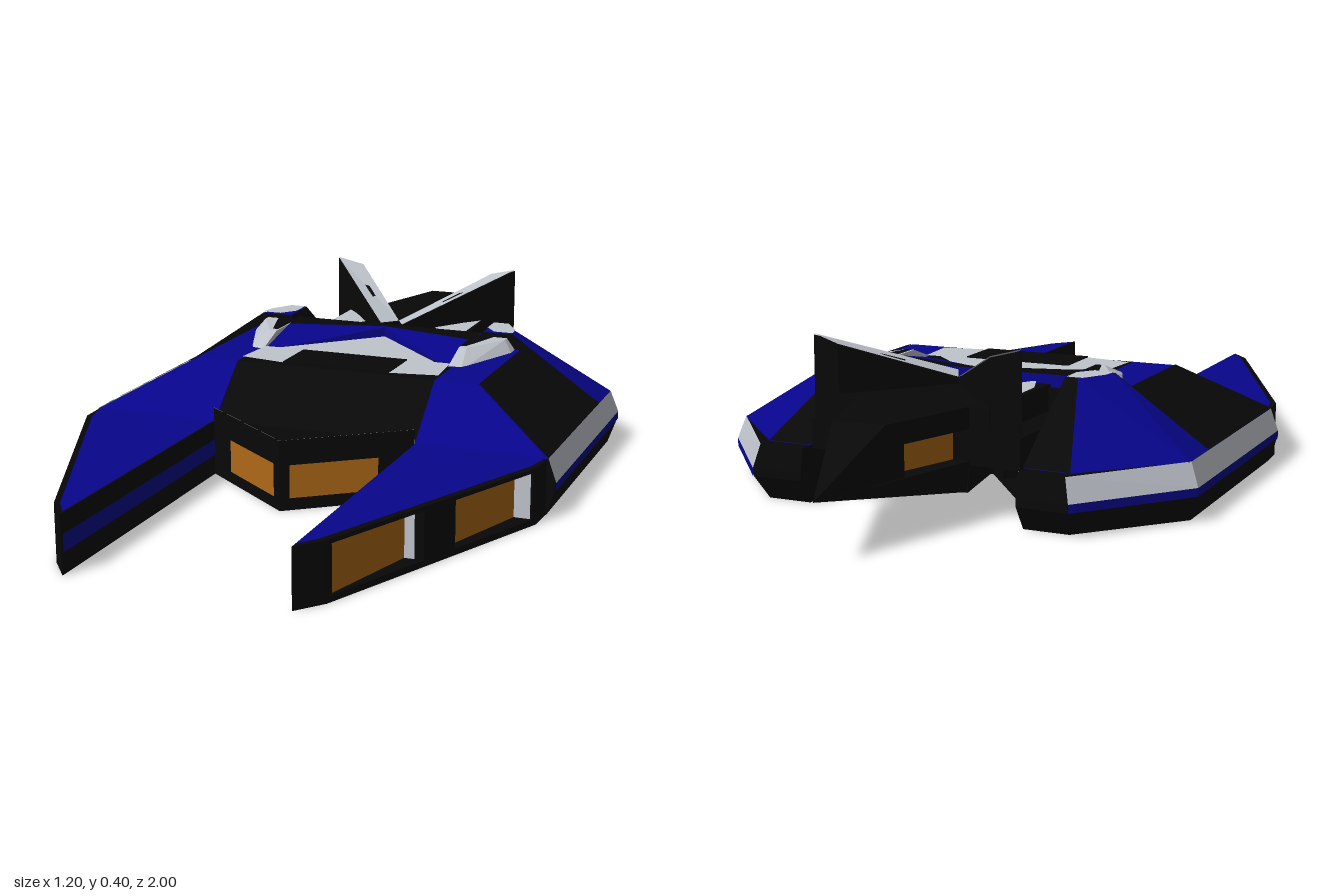
import * as THREE from 'three';
import { ConvexGeometry } from 'three/addons/geometries/ConvexGeometry.js';

const mat = (color) => new THREE.MeshStandardMaterial({ color, flatShading: true, side: THREE.DoubleSide });
const dark = mat(0x080808), blue = mat(0x07058a), silver = mat(0xc0c4cc), amber = mat(0xb06a18);

export function createModel() {
  const model = new THREE.Group();
  const add = (name, geometry, material) => {
    const mesh = new THREE.Mesh(geometry, material);
    mesh.name = name;
    model.add(mesh);
  };
  const flip = (pts) => pts.map(([x, y, z]) => [-x, y, z]);
  // Convex faceted block around [x, y, z] corners
  const solid = (name, material, pts) =>
    add(name, new ConvexGeometry(pts.map((p) => new THREE.Vector3(...p))), material);
  // Thin convex panel from ordered corners
  const panel = (name, material, pts) => {
    const tris = [];
    for (let i = 1; i < pts.length - 1; i++) tris.push(pts[0], pts[i], pts[i + 1]);
    const g = new THREE.BufferGeometry();
    g.setAttribute('position', new THREE.Float32BufferAttribute(tris.flat(), 3));
    g.computeVertexNormals();
    add(name, g, material);
  };
  const both = (make, name, material, pts) => {
    make(name + 'Left', material, pts);
    make(name + 'Right', material, flip(pts));
  };
  // Plan outline [x, z] lifted to a height
  const at = (y, plan) => plan.map(([x, z]) => [x, y, z]);
  // Upright panel over a plan line
  const wall = (name, material, a, b, y0, y1) =>
    both(panel, name, material, [...at(y0, [a, b]), ...at(y1, [b, a])]);
  // Plan outline extruded between two heights, on both sides
  const slab = (name, material, plan, y0, y1) => {
    for (const s of [1, -1]) {
      const shape = new THREE.Shape(plan.map(([x, z]) => new THREE.Vector2(s * x, -z)));
      const g = new THREE.ExtrudeGeometry(shape, { depth: y1 - y0, bevelEnabled: false });
      g.rotateX(-Math.PI / 2).translate(0, y0, 0);
      add(name + (s > 0 ? 'Left' : 'Right'), g, material);
    }
  };

  // Side hulls: dark body with blue stripe and silver rub strip
  const keel = [[0.26, 0.27], [0.58, 0.27], [0.58, -0.35], [0.38, -0.57], [0.27, -0.57]];
  const belt = [[0.26, 0.27], [0.6, 0.27], [0.6, -0.365], [0.393, -0.615], [0.27, -0.61]];
  const rim = [[0.26, 0.27], [0.58, 0.27], [0.58, -0.355], [0.38, -0.6], [0.27, -0.6]];
  both(solid, 'sideKeel', dark, [...at(0, keel), ...at(0.06, belt)]);
  both(solid, 'sideHull', dark, [...at(0.06, belt), ...at(0.08, belt), ...at(0.135, rim)]);
  const out = ([x, z]) => [x + 0.002, z - 0.001];
  for (const i of [1, 2]) {
    const low = [out(belt[i]), out(belt[i + 1])], high = [out(rim[i + 1]), out(rim[i])];
    wall('sideStripe', blue, ...low, 0.06, 0.08);
    both(panel, 'sideStrip', silver, [...at(0.08, low), ...at(0.136, high)]);
  }

  // Forward prongs with two recessed lights on the outer wall
  const prong = [[0.26, 0.25], [0.26, 1], [0.31, 0.94], [0.575, 0.34], [0.58, 0.25]];
  const core = [[0.26, 0.25], [0.26, 1], [0.31, 0.94], [0.31, 0.92], [0.38, 0.68], [0.425, 0.68],
    [0.465, 0.59], [0.44, 0.59], [0.525, 0.35], [0.57, 0.35], [0.575, 0.34], [0.58, 0.25]];
  slab('prongFloor', dark, prong, 0, 0.015);
  slab('prongCore', dark, core, 0.015, 0.125);
  slab('prongRoof', dark, prong, 0.125, 0.135);
  both(panel, 'prongDeck', blue, at(0.1365, [[0.262, 0.27], [0.262, 0.985], [0.295, 0.94], [0.56, 0.34], [0.575, 0.27]]));
  wall('prongInnerStripe', blue, [0.258, 0.27], [0.258, 0.995], 0.05, 0.09);
  for (const [x0, z0, x1, z1, xe] of [[0.31, 0.92, 0.38, 0.68, 0.405], [0.44, 0.59, 0.525, 0.35, 0.565]]) {
    wall('prongLight', amber, [x0 + 0.003, z0], [x1 + 0.003, z1], 0.016, 0.124);
    wall('prongLightEnd', silver, [x1, z1 + 0.003], [xe, z1 + 0.003], 0.016, 0.124);
  }

  // Sloped shoulders with dark outer panels
  both(solid, 'shoulder', blue, [
    ...at(0.135, [[0.26, 0.27], [0.58, 0.27], [0.58, -0.23], [0.26, -0.23]]),
    ...at(0.255, [[0.26, 0.13], [0.37, 0.13], [0.37, -0.23], [0.26, -0.23]])]);
  both(panel, 'shoulderPanel', dark, [
    [0.582, 0.137, 0.27], [0.582, 0.137, -0.23], [0.372, 0.257, -0.23], [0.372, 0.257, 0.13]]);

  // Raised rear shoulders
  both(solid, 'rearShoulder', blue, [
    ...at(0.135, [[0.27, -0.23], [0.58, -0.23], [0.58, -0.36], [0.38, -0.565], [0.27, -0.565]]),
    ...at(0.295, [[0.27, -0.23], [0.35, -0.23], [0.3, -0.33], [0.27, -0.33]])]);
  both(panel, 'rearShoulderBack', dark, [
    [0.268, 0.137, -0.568], [0.38, 0.137, -0.568], [0.3, 0.297, -0.333], [0.268, 0.297, -0.333]]);
  both(panel, 'rearShoulderInner', dark, [
    [0.267, 0.135, -0.23], [0.267, 0.135, -0.566], [0.267, 0.295, -0.331], [0.267, 0.295, -0.23]]);
  both(panel, 'rearShoulderFront', dark, [
    [0.27, 0.137, -0.228], [0.58, 0.137, -0.228], [0.35, 0.295, -0.228], [0.27, 0.295, -0.228]]);
  both(panel, 'rearShoulderCap', silver, at(0.298, [
    [0.27, -0.27], [0.3, -0.23], [0.35, -0.23], [0.345, -0.27], [0.31, -0.33], [0.27, -0.33]]));
  both(solid, 'shoulderTrim', silver, [
    ...at(0.25, [[0.25, 0.01], [0.285, 0], [0.36, -0.19], [0.36, -0.23], [0.25, -0.23]]),
    ...at(0.284, [[0.25, -0.09], [0.27, -0.09], [0.335, -0.21], [0.335, -0.23], [0.25, -0.23]])]);
  both(panel, 'trimDeck', dark, at(0.286, [[0.25, -0.1], [0.265, -0.1], [0.305, -0.23], [0.25, -0.23]]));

  // Centre hull, cut by a V at the back with a recessed light in each wall
  const centre = [[0, 0.27], [0.275, 0.27], [0.275, -0.507], [0, -0.15]];
  const centreCore = [[0, 0.27], [0.275, 0.27], [0.275, -0.507], [0.24, -0.462], [0.265, -0.442],
    [0.095, -0.208], [0.07, -0.241], [0, -0.15]];
  slab('centreFloor', dark, centre, 0, 0.015);
  slab('centreCore', dark, centreCore, 0.015, 0.125);
  slab('centreRoof', dark, centre, 0.125, 0.135);
  wall('rearHullLight', amber, [0.095, -0.211], [0.265, -0.445], 0.016, 0.124);
  solid('centreDeck', dark, [
    ...at(0.13, [[-0.26, 0.26], [0.26, 0.26], [0.26, -0.27], [-0.26, -0.27]]),
    ...at(0.255, [[-0.26, 0.13], [0.26, 0.13], [0.26, -0.27], [-0.26, -0.27]])]);

  // Pointed nose: sunken deck, silver slope inside a raised lip
  const nose = [[-0.26, 0.27], [0, 0.467], [0.26, 0.27]];
  solid('nose', dark, [...at(0, nose), ...at(0.125, nose)]);
  wall('noseLip', dark, [0, 0.467], [0.26, 0.27], 0.12, 0.17);
  both(panel, 'noseRim', silver, [
    [0, 0.17, 0.466], [0.26, 0.17, 0.269], [0.26, 0.128, 0.268], [0, 0.128, 0.41]]);
  const noseZ = (x) => 0.47 - 0.757 * x;
  wall('noseLight', amber, [0.02, noseZ(0.02)], [0.19, noseZ(0.19)], 0.03, 0.11);

  // Roof: silver arrow plate, side plates, hatch and blue crown
  panel('arrowPlate', silver, at(0.259, [[0, -0.23], [0.23, 0], [-0.23, 0]]));
  both(panel, 'roofSidePlate', silver, at(0.259, [[0.14, -0.02], [0.25, -0.02], [0.26, 0.1], [0.14, 0.12]]));
  const hatch = [[-0.14, -0.01], [0.14, -0.01], [0.14, 0.12], [-0.14, 0.12]];
  solid('hatch', dark, [...at(0.25, hatch), ...at(0.262, hatch)]);
  both(solid, 'crown', blue, [
    ...at(0.25, [[0, -0.26], [0, -0.23], [0.25, 0], [0.26, -0.26]]),
    ...at(0.283, [[0, -0.26], [0, -0.235], [0.25, -0.17], [0.26, -0.26]])]);
  both(panel, 'crownBackDeck', dark, at(0.285, [[0, -0.26], [0, -0.237], [0.25, -0.175], [0.26, -0.26]]));

  // Rear deck and the tail spike, with a deep slot light along each side
  const deck = [[-0.262, -0.26], [0.262, -0.26], [0.262, -0.57], [-0.262, -0.57]];
  solid('rearDeck', dark, [...at(0.13, deck), ...at(0.2, deck)]);
  const ridge = [[-0.2, -0.26], [0.2, -0.26], [0.19, -0.57], [-0.19, -0.57]];
  solid('rearRidge', dark, [...at(0.19, ridge), ...at(0.262, ridge)]);
  solid('tailKeel', dark, [[0, 0.003, -0.17], [0, 0.135, -0.17],
    ...at(0.07, [[-0.14, -0.58], [0.14, -0.58]]), ...at(0.14, [[-0.14, -0.57], [0.14, -0.57]])]);
  const base = [[-0.14, -0.57], [0.14, -0.57]], slotEnd = [[-0.08, -0.76], [0.08, -0.76]];
  solid('spikeLower', dark, [...at(0.07, base), ...at(0.14, base), [0, 0.135, -1]]);
  solid('spikeTip', dark, [
    ...at(0.14, slotEnd), ...at(0.212, slotEnd), ...at(0.212, [[-0.038, -0.885], [0.038, -0.885]]), [0, 0.135, -1]]);
  solid('spikeUpper', dark, [
    ...at(0.212, base), ...at(0.262, base),
    ...at(0.212, [[-0.038, -0.885], [0.038, -0.885]]), ...at(0.262, [[-0.063, -0.81], [0.063, -0.81]])]);
  wall('spikeLight', amber, [0.1, -0.57], [0.035, -0.76], 0.14, 0.212);
  both(panel, 'rearDeckPlate', silver, at(0.266, [[0.1, -0.35], [0.16, -0.25], [0.19, -0.33], [0.19, -0.48]]));

  // Swept fins in a V, silver along the top edge
  const finTop = [[0, 0.275, -0.34], [0.03, 0.28, -0.28], [0.26, 0.393, -0.555], [0.19, 0.375, -0.567]];
  both(solid, 'fin', dark, [...finTop, ...at(0.13, [[0, -0.34], [0.03, -0.28], [0.26, -0.555], [0.19, -0.567]])]);
  both(panel, 'finEdge', silver, finTop.map(([x, y, z]) => [x, y + 0.003, z]));

  return model;
}
